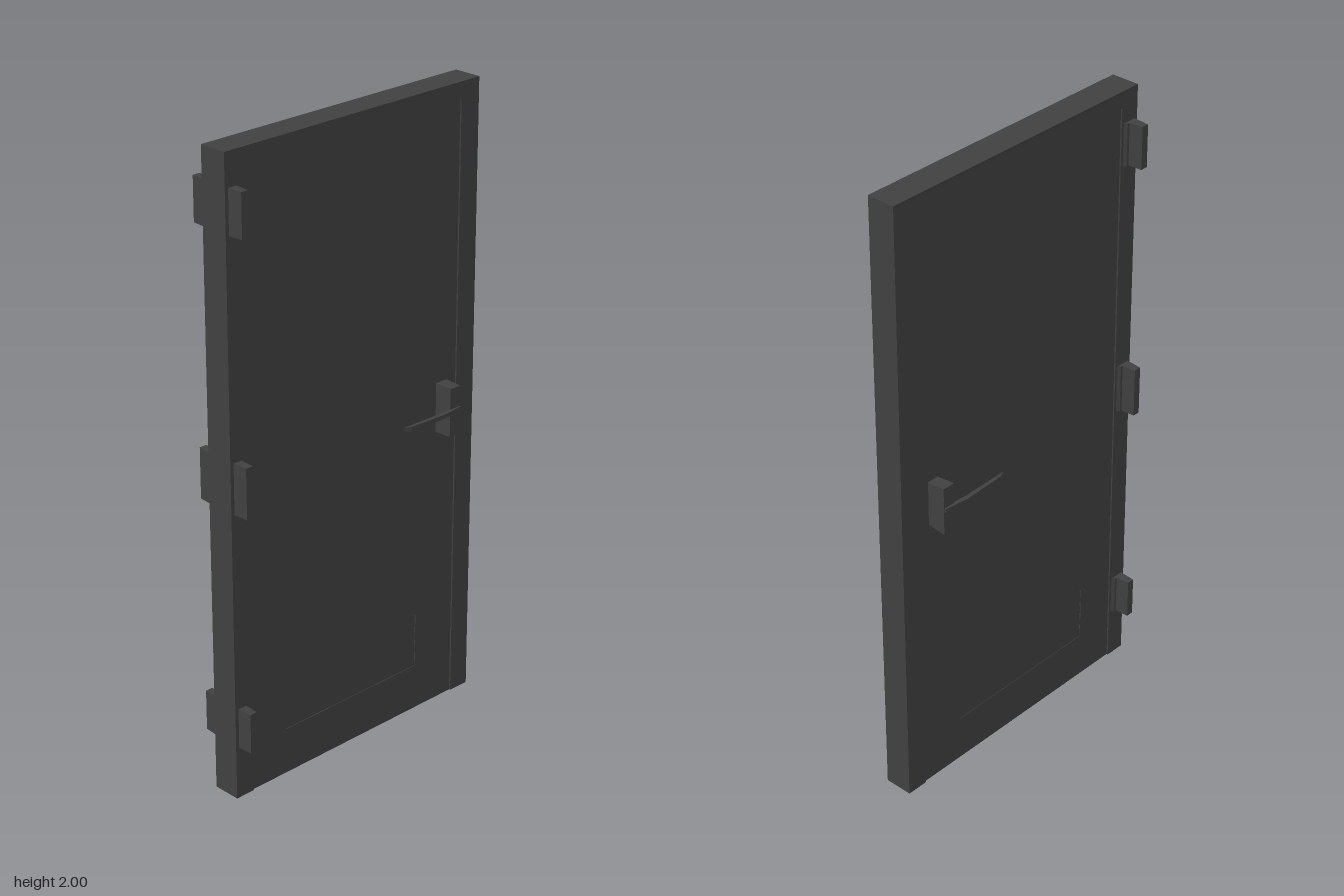
import * as THREE from 'three';

const darkSteel = new THREE.MeshStandardMaterial({ color: 0x404040 });
darkSteel.name = 'darkSteel';

function add(parent, name, geometry) {
  const mesh = new THREE.Mesh(geometry, darkSteel);
  mesh.name = name;
  parent.add(mesh);
  return mesh;
}

// Flat outline in x/y, extruded evenly about z = 0
function slab(points, depth, hole) {
  const shape = new THREE.Shape(points.map(p => new THREE.Vector2(...p)));
  if (hole) shape.holes.push(new THREE.Path(hole.map(p => new THREE.Vector2(...p))));
  return new THREE.ExtrudeGeometry(shape, { depth, bevelEnabled: false }).translate(0, 0, -depth / 2);
}

// Block standing on a door face, its outer end scaled by sx and sy
function taperedBlock(x, y, w, h, zBase, zTip, sx, sy) {
  const g = new THREE.BoxGeometry(w, h, Math.abs(zTip - zBase));
  const p = g.attributes.position;
  const side = Math.sign(zTip - zBase);
  for (let i = 0; i < p.count; i++) {
    if (p.getZ(i) * side > 0) p.setXY(i, p.getX(i) * sx, p.getY(i) * sy);
  }
  g.translate(x, y, (zBase + zTip) / 2);
  g.computeVertexNormals();
  return g;
}

export function createModel() {
  const door = new THREE.Group();
  door.name = 'door';

  // Frame: two jambs and a head, open at the bottom
  add(door, 'frame', slab([
    [-0.49, 0], [-0.424, 0], [-0.424, 1.947], [0.418, 1.947],
    [0.418, 0], [0.49, 0], [0.49, 2], [-0.49, 2],
  ], 0.092));

  // Leaf with an opening for the vent, closed by a thin core
  add(door, 'leaf', slab(
    [[-0.424, 0], [0.418, 0], [0.418, 1.947], [-0.424, 1.947]], 0.083,
    [[-0.29, 0.15], [-0.29, 0.33], [0.26, 0.33], [0.26, 0.15]],
  ));
  add(door, 'ventCore', new THREE.BoxGeometry(0.56, 0.19, 0.062)).position.set(-0.015, 0.24, 0);

  // Shallow sloping louvres on both faces of the vent
  for (const side of [1, -1]) {
    for (let i = 0; i < 4; i++) {
      const slat = add(door, 'ventSlat', new THREE.BoxGeometry(0.55, 0.042, 0.006));
      slat.position.set(-0.015, 0.1725 + i * 0.045, side * 0.036);
      slat.rotation.x = -side * 0.12;
    }
  }

  // Three hinges, showing on both faces
  for (const [y, h] of [[0.235, 0.13], [1.01, 0.16], [1.83, 0.135]]) {
    add(door, 'hingeFront', taperedBlock(-0.463, y, 0.031, h, 0.04, 0.095, 0.8, 1));
    add(door, 'hingeBack', taperedBlock(-0.463, y, 0.034, h, -0.04, -0.1, 0.7, 1));
    add(door, 'hingeFoot', taperedBlock(-0.457, y, 0.058, h, -0.04, -0.055, 0.6, 1));
  }

  // Lock housings and bent, tapering levers on both faces
  add(door, 'lockHousingFront', taperedBlock(0.358, 1.005, 0.044, 0.16, 0.035, 0.1, 0.95, 0.97));
  add(door, 'lockHousingBack', taperedBlock(0.359, 1.005, 0.038, 0.145, -0.035, -0.104, 1.12, 1.08));

  const lever = (name, tipX, side) => {
    const outline = [
      [0.379, 0.096], [0.377, 0.105], [0.3, 0.114], [tipX + 0.02, 0.107],
      [tipX, 0.096], [0.3, 0.1], [0.34, 0.096],
    ];
    const g = slab(outline.map(([x, z]) => [x, -side * z]), 0.014).rotateX(-Math.PI / 2);
    add(door, name, g).position.y = 1.01;
  };
  lever('leverFront', 0.148, 1);
  lever('leverBack', 0.13, -1.04);

  return door;
}
